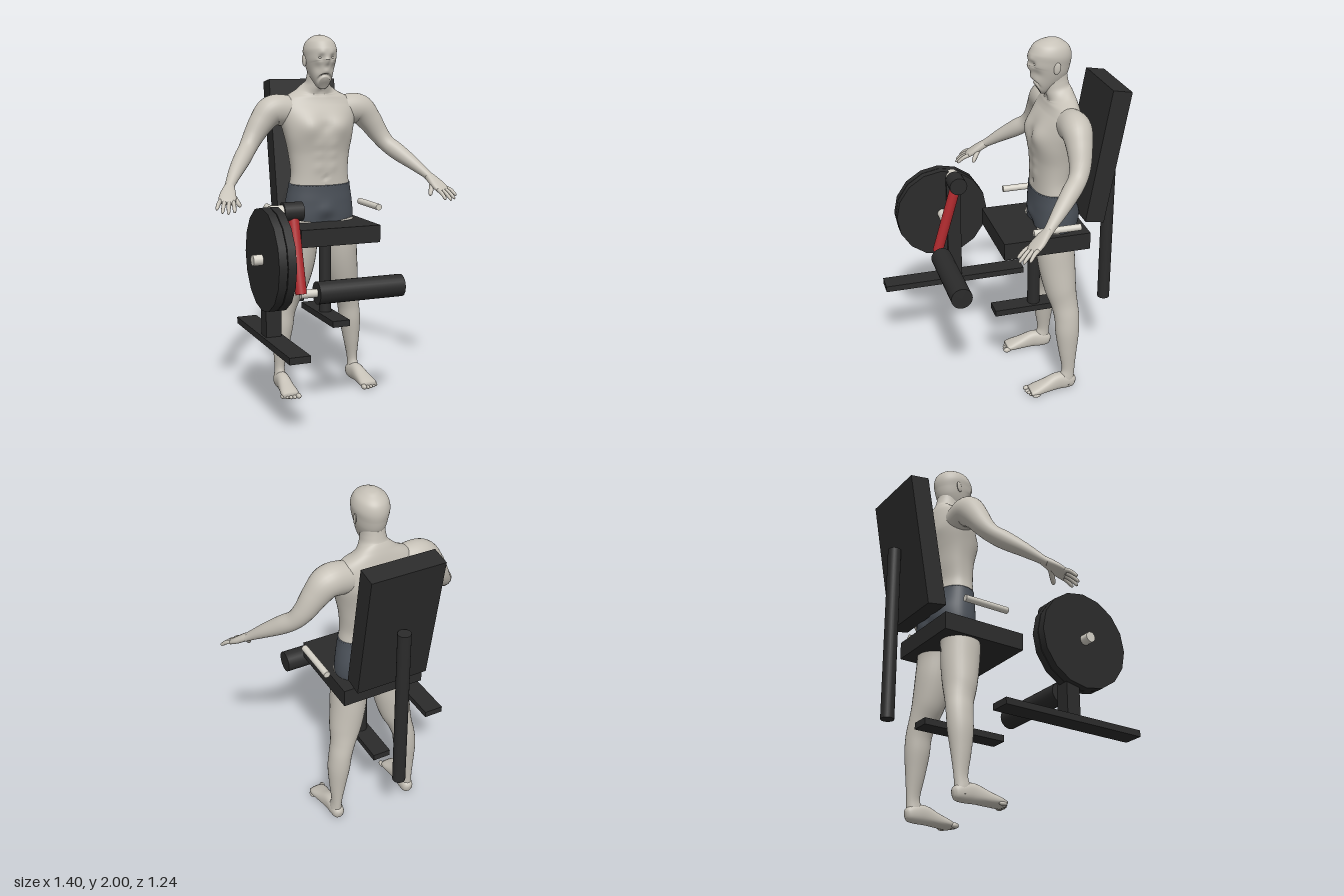
import * as THREE from 'three';

const mat = (name, color, side = THREE.FrontSide) => {
  const m = new THREE.MeshStandardMaterial({ color, side });
  m.name = name;
  return m;
};

// Smooth loft through stations [x, y, z, a, b]; a lies along ref, b across it.
// p is the roundness exponent: 2 is an ellipse, more is boxier.
function loft(stations, ref, { seg = 28, steps = 4, p = 2 } = {}) {
  const path = new THREE.CatmullRomCurve3(stations.map(s => new THREE.Vector3(s[0], s[1], s[2])), false, 'catmullrom', 0.5);
  const size = new THREE.CatmullRomCurve3(stations.map(s => new THREE.Vector3(s[3], s[4], 0)), false, 'catmullrom', 0.5);
  const n = (stations.length - 1) * steps, pos = [], idx = [];
  const pw = c => Math.sign(c) * Math.pow(Math.abs(c), 2 / p);
  for (let i = 0; i <= n; i++) {
    const c = path.getPoint(i / n), r = size.getPoint(i / n), t = path.getTangent(i / n);
    const u = ref.clone().addScaledVector(t, -ref.dot(t)).normalize();
    const v = t.clone().cross(u);
    for (let j = 0; j < seg; j++) {
      const q = (j / seg) * Math.PI * 2;
      const k = c.clone().addScaledVector(u, pw(Math.cos(q)) * r.x).addScaledVector(v, pw(Math.sin(q)) * r.y);
      pos.push(k.x, k.y, k.z);
    }
  }
  for (let i = 0; i < n; i++) for (let j = 0; j < seg; j++) {
    const a = i * seg + j, b = i * seg + (j + 1) % seg;
    idx.push(a, b, b + seg, a, b + seg, a + seg);
  }
  const first = pos.length / 3, last = first + 1;
  pos.push(...path.getPoint(0).toArray(), ...path.getPoint(1).toArray());
  for (let j = 0; j < seg; j++) {
    const k = (j + 1) % seg;
    idx.push(first, k, j, last, n * seg + j, n * seg + k);
  }
  const g = new THREE.BufferGeometry();
  g.setAttribute('position', new THREE.Float32BufferAttribute(pos, 3));
  g.setIndex(idx);
  g.computeVertexNormals();
  return g;
}

// Push the surface with soft bumps [x, y, z, radius, dx, dz], mirrored in x
function sculpt(g, bumps) {
  const P = g.attributes.position, v = new THREE.Vector3(), c = new THREE.Vector3();
  const all = bumps.flatMap(b => b[0] ? [b, [-b[0], b[1], b[2], b[3], -b[4], b[5]]] : [b]);
  for (let i = 0; i < P.count; i++) {
    v.fromBufferAttribute(P, i);
    let dx = 0, dz = 0;
    for (const [x, y, z, r, bx, bz] of all) {
      const w = Math.exp(-v.distanceToSquared(c.set(x, y, z)) / (r * r));
      dx += bx * w; dz += bz * w;
    }
    P.setXYZ(i, v.x + dx, v.y, v.z + dz);
  }
  g.computeVertexNormals();
  return g;
}

export function createModel() {
  const root = new THREE.Group();
  const black = mat('black', 0x2b2b2b), metal = mat('pale metal', 0xd6d2c8), red = mat('red', 0xb02a2e);
  const skin = mat('skin', 0xc6c1b7), cloth = mat('shorts grey', 0x4b5159);
  const X = new THREE.Vector3(1, 0, 0), V = (...a) => new THREE.Vector3(...a);

  const add = (name, geo, m, parent = root) => {
    const o = new THREE.Mesh(geo, m);
    o.name = name;
    parent.add(o);
    return o;
  };
  // Box from its min and max corners
  const box = (name, a, b, m, parent) => {
    const o = add(name, new THREE.BoxGeometry(b[0] - a[0], b[1] - a[1], b[2] - a[2]), m, parent);
    o.position.set((a[0] + b[0]) / 2, (a[1] + b[1]) / 2, (a[2] + b[2]) / 2);
    return o;
  };
  // Cylinder between two points
  const rod = (name, a, b, r, m, parent, seg = 24) => {
    const A = V(...a), B = V(...b), d = B.clone().sub(A);
    const o = add(name, new THREE.CylinderGeometry(r, r, d.length(), seg), m, parent);
    o.position.copy(A).add(B).multiplyScalar(0.5);
    o.quaternion.setFromUnitVectors(V(0, 1, 0), d.normalize());
    return o;
  };

  // ---- Exercise machine ----
  const machine = new THREE.Group();
  machine.name = 'machine';
  root.add(machine);
  box('seat', [-0.23, 0.88, -0.4], [0.23, 0.975, 0.08], black, machine);
  const back = add('backrest', new THREE.BoxGeometry(0.4, 0.735, 0.107), black, machine);
  back.position.set(0, 1.383, -0.495);
  back.rotation.x = -0.172;
  rod('backPost', [0, 0.425, -0.585], [0, 1.38, -0.585], 0.035, black, machine);
  rod('seatPost', [0, 0.45, -0.157], [0, 0.9, -0.157], 0.035, black, machine);
  box('seatBase', [-0.05, 0.425, -0.4], [0.05, 0.46, 0.08], black, machine);
  box('sideBase', [-0.5, 0.425, -0.22], [-0.39, 0.46, 0.62], black, machine);
  box('sidePost', [-0.487, 0.45, 0.16], [-0.405, 1.1, 0.24], black, machine);

  // Weight plates, axle and swinging arm
  for (const x of [-0.515, -0.468]) rod('weightPlate', [x, 0.875, 0.265], [x + 0.043, 0.875, 0.265], 0.265, black, machine, 16);
  rod('weightAxle', [-0.565, 0.875, 0.265], [-0.33, 0.875, 0.265], 0.028, metal, machine);
  rod('pivotShaft', [-0.45, 1.1, 0.2], [-0.37, 1.1, 0.2], 0.037, metal, machine);
  rod('pivotHub', [-0.38, 1.1, 0.2], [-0.275, 1.1, 0.2], 0.05, black, machine);
  rod('swingArm', [-0.325, 1.1, 0.2], [-0.325, 0.69, 0.32], 0.03, red, machine);
  rod('rollerShaft', [-0.33, 0.69, 0.318], [-0.23, 0.69, 0.318], 0.022, metal, machine);
  rod('legRoller', [-0.24, 0.69, 0.318], [0.24, 0.69, 0.318], 0.059, black, machine);
  for (const s of [-1, 1]) rod('handle', [s * 0.287, 1.05, -0.32], [s * 0.287, 1.05, -0.06], 0.018, metal, machine);

  // ---- Standing figure ----
  const figure = new THREE.Group();
  figure.name = 'figure';
  root.add(figure);
  const column = rows => rows.map(([y, w, z, d]) => [0, y, z, w, d]);

  // Torso and neck: rows of height, half width, middle z, half depth
  const torso = loft(column([
    [1.14, 0.178, -0.245, 0.107], [1.18, 0.173, -0.243, 0.104], [1.25, 0.166, -0.242, 0.102], [1.35, 0.176, -0.25, 0.113],
    [1.45, 0.197, -0.253, 0.125], [1.54, 0.218, -0.268, 0.116], [1.61, 0.222, -0.282, 0.094], [1.66, 0.185, -0.285, 0.08],
    [1.695, 0.118, -0.28, 0.073], [1.73, 0.073, -0.266, 0.07], [1.77, 0.061, -0.258, 0.068], [1.82, 0.058, -0.252, 0.066],
  ]), X, { seg: 64, steps: 7, p: 2.2 });
  sculpt(torso, [
    [0.09, 1.51, -0.14, 0.065, 0, 0.024], [0, 1.5, -0.13, 0.03, 0, -0.008], [0, 1.22, -0.14, 0.012, 0, -0.01],
    [0.04, 1.28, -0.14, 0.028, 0, 0.006], [0.04, 1.345, -0.14, 0.028, 0, 0.006], [0.04, 1.405, -0.135, 0.028, 0, 0.005],
    [0.11, 1.55, -0.385, 0.07, 0, -0.012], [0, 1.4, -0.37, 0.05, 0, 0.01], [0, 1.695, -0.205, 0.022, 0, -0.01],
  ]);
  add('torso', torso, skin, figure);

  const shorts = loft(column([
    [0.9, 0.185, -0.25, 0.11], [0.98, 0.2, -0.253, 0.122], [1.04, 0.199, -0.254, 0.124],
    [1.1, 0.191, -0.249, 0.118], [1.15, 0.182, -0.245, 0.111], [1.185, 0.178, -0.243, 0.108],
  ]), X, { seg: 56, steps: 5, p: 2.2 });
  sculpt(shorts, [[0.085, 1.04, -0.37, 0.07, 0, -0.014], [0, 1.03, -0.38, 0.03, 0, 0.014], [0, 0.97, -0.13, 0.045, 0, -0.016], [0, 1.04, -0.13, 0.04, 0, 0.01]]);
  add('shorts', shorts, cloth, figure);

  // Head with sculpted brow, eyes, nose, lips and chin
  const head = loft(column([
    [1.742, 0.03, -0.16, 0.032], [1.755, 0.048, -0.18, 0.06], [1.8, 0.067, -0.206, 0.089], [1.84, 0.079, -0.22, 0.107],
    [1.88, 0.086, -0.225, 0.113], [1.92, 0.09, -0.23, 0.112], [1.96, 0.077, -0.232, 0.094], [1.985, 0.049, -0.233, 0.06],
    [1.996, 0.026, -0.233, 0.032], [2, 0.004, -0.233, 0.005],
  ]), X, { seg: 72, steps: 7 });
  sculpt(head, [
    [0.034, 1.877, -0.12, 0.018, 0, -0.013], [0.03, 1.902, -0.12, 0.018, 0, 0.005], [0, 1.862, -0.11, 0.013, 0, 0.01],
    [0, 1.843, -0.11, 0.014, 0, 0.021], [0.013, 1.837, -0.114, 0.009, 0, 0.007], [0, 1.803, -0.115, 0.016, 0, 0.008],
    [0.012, 1.803, -0.117, 0.013, 0, 0.003], [0, 1.789, -0.117, 0.009, 0, -0.005], [0, 1.762, -0.12, 0.022, 0, 0.008], [0.05, 1.82, -0.14, 0.025, -0.004, -0.004],
  ]);
  add('head', head, skin, figure);

  // One set of side parts, built for +x and mirrored by moving its vertices
  const mirrored = g => {
    const m = g.clone().scale(-1, 1, 1), i = m.index.array;
    for (let k = 0; k < i.length; k += 3) [i[k], i[k + 1]] = [i[k + 1], i[k]];
    m.computeVertexNormals();
    return m;
  };
  const pair = (name, geo) => {
    add(name + 'Left', geo, skin, figure);
    add(name + 'Right', mirrored(geo), skin, figure);
  };
  const blob = (x, y, z, a, b, c) => new THREE.SphereGeometry(1, 14, 10).scale(a, b, c).translate(x, y, z);

  pair('ear', blob(0, 0, 0, 0.007, 0.032, 0.018).rotateX(-0.2).rotateY(-0.3).translate(0.088, 1.86, -0.24));
  pair('eye', blob(0.034, 1.877, -0.141, 0.012, 0.009, 0.011));

  pair('arm', loft([
    [0.1, 1.57, -0.285, 0.075, 0.07], [0.19, 1.588, -0.287, 0.086, 0.078], [0.265, 1.585, -0.288, 0.084, 0.08],
    [0.325, 1.525, -0.283, 0.07, 0.068], [0.38, 1.445, -0.27, 0.056, 0.056], [0.42, 1.388, -0.243, 0.048, 0.049],
    [0.465, 1.342, -0.192, 0.048, 0.047], [0.525, 1.283, -0.12, 0.037, 0.039], [0.575, 1.228, -0.055, 0.025, 0.028],
    [0.6, 1.2, -0.022, 0.02, 0.026],
  ], V(0, 1, 0), { steps: 6 }));

  // Hand: palm, four fanned fingers and a thumb
  const wide = V(0.94, 0.1, -0.32).normalize(), reach = V(0.325, -0.557, 0.765);
  pair('palm', loft([
    [0.583, 1.218, -0.045, 0.024, 0.022], [0.598, 1.196, -0.014, 0.035, 0.021], [0.615, 1.168, 0.022, 0.045, 0.019],
    [0.63, 1.144, 0.055, 0.043, 0.014], [0.633, 1.139, 0.061, 0.034, 0.008],
  ], wide, { p: 2.4 }));
  const digit = (base, tip, r, sag) => {
    const row = [[0, 1], [0.45, 0.95], [0.85, 0.78], [0.97, 0.5], [1, 0.1]];
    return loft(row.map(([t, k]) => {
      const q = base.clone().lerp(tip, t);
      return [q.x, q.y + sag * Math.sin(t * Math.PI), q.z, r * k, r * k];
    }), wide, { seg: 12, steps: 3 });
  };
  [0.083, 0.1, 0.096, 0.074].forEach((len, i) => {
    const k = i - 1.5, base = V(0.626, 1.15, 0.046).addScaledVector(wide, k * 0.022);
    pair('finger', digit(base, base.clone().addScaledVector(reach, len).addScaledVector(wide, k * 0.009), 0.0115, 0.008));
  });
  pair('thumb', digit(V(0.593, 1.188, -0.005), V(0.553, 1.115, 0.045), 0.015, 0.002));

  pair('leg', loft([
    [0.105, 0.97, -0.25, 0.094, 0.11], [0.118, 0.87, -0.24, 0.098, 0.107], [0.13, 0.75, -0.248, 0.097, 0.102],
    [0.154, 0.62, -0.263, 0.087, 0.088], [0.178, 0.53, -0.28, 0.068, 0.075], [0.199, 0.45, -0.29, 0.062, 0.07],
    [0.21, 0.36, -0.291, 0.06, 0.067], [0.219, 0.25, -0.293, 0.046, 0.053], [0.227, 0.13, -0.297, 0.029, 0.037],
    [0.229, 0.07, -0.288, 0.032, 0.043], [0.23, 0.03, -0.285, 0.033, 0.045],
  ], X, { steps: 6 }));
  const foot = loft([
    [0.226, 0.035, -0.34, 0.012, 0.018], [0.226, 0.038, -0.325, 0.03, 0.036], [0.227, 0.045, -0.285, 0.037, 0.047],
    [0.23, 0.05, -0.23, 0.037, 0.05], [0.235, 0.036, -0.16, 0.043, 0.037], [0.239, 0.025, -0.1, 0.05, 0.026],
    [0.239, 0.018, -0.065, 0.046, 0.018],
  ], X, { p: 2.3 });
  const fp = foot.attributes.position;
  for (let i = 0; i < fp.count; i++) fp.setY(i, Math.max(0, fp.getY(i)));
  foot.computeVertexNormals();
  pair('foot', foot);
  for (let i = 0; i < 5; i++) {
    const r = i ? 0.0105 : 0.015;
    pair('toe', blob(0.2 + i * 0.02 + (i ? 0.004 : 0), r, -0.06 - i * i * 0.002, r, r, 0.023));
  }
  return root;
}
